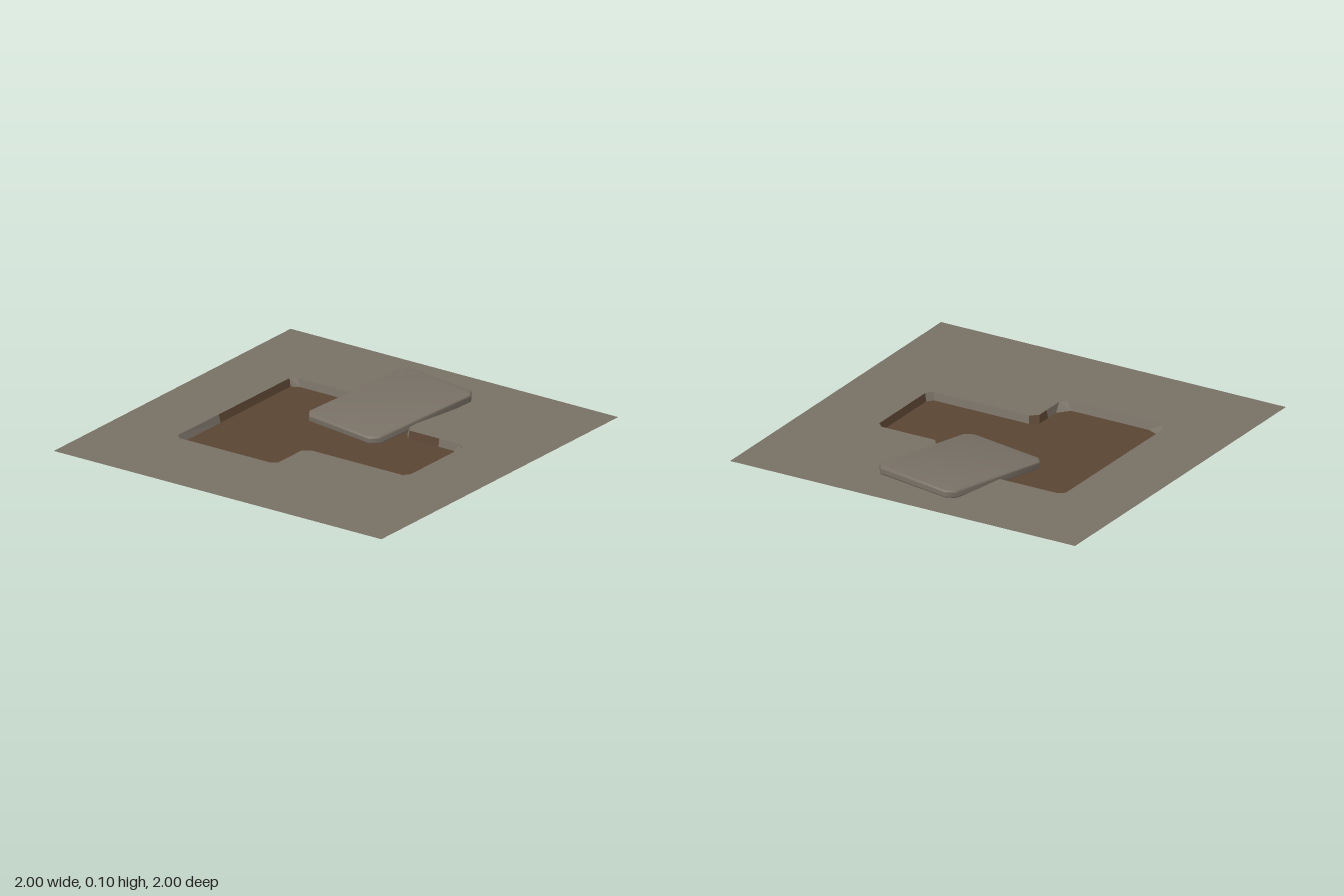
import * as THREE from 'three';
import { toCreasedNormals } from 'three/addons/utils/BufferGeometryUtils.js';

const TOP = 0.05, BOTTOM = 0.009;

// Outline of the pit: rim x, rim z, floor x, floor z, and whether the wall to the next point is earth
const OUTLINE = [
  [-0.47, -0.625, -0.445, -0.61, 0],
  [-0.13, -0.622, -0.13, -0.61, 1],
  [0.465, -0.62, 0.46, -0.61, 0],
  [0.492, -0.59, 0.483, -0.57, 0],
  [0.492, 0.21, 0.483, 0.2, 0],
  [0.465, 0.24, 0.455, 0.232, 0],
  [0.29, 0.24, 0.28, 0.232, 0],
  [0.25, 0.27, 0.243, 0.265, 1],
  [0.25, 0.45, 0.243, 0.45, 0],
  [0.25, 0.58, 0.243, 0.54, 0],
  [0.22, 0.612, 0.215, 0.603, 1],
  [-0.215, 0.612, -0.21, 0.603, 0],
  [-0.248, 0.585, -0.24, 0.575, 0],
  [-0.248, 0.03, -0.24, 0.025, 1],
  [-0.28, -0.01, -0.27, -0.018, 1],
  [-0.35, -0.01, -0.35, -0.018, 0],
  [-0.47, -0.01, -0.425, -0.018, 0],
  [-0.497, -0.04, -0.486, -0.07, 0],
  [-0.497, -0.595, -0.486, -0.52, 0],
];

// Flat shape lying in the ground plane; z maps to negative shape y
const flatPoints = (pts) => pts.map(([x, z]) => new THREE.Vector2(x, -z));

function wallGeometry(earth) {
  const pos = [];
  OUTLINE.forEach((p, i) => {
    if (!!p[4] !== earth) return;
    const q = OUTLINE[(i + 1) % OUTLINE.length];
    const a = [p[0], TOP, p[1]], b = [q[0], TOP, q[1]];
    const c = [q[2], BOTTOM, q[3]], d = [p[2], BOTTOM, p[3]];
    pos.push(...a, ...d, ...c, ...a, ...c, ...b);
  });
  const g = new THREE.BufferGeometry();
  g.setAttribute('position', new THREE.Float32BufferAttribute(pos, 3));
  g.computeVertexNormals();
  return g;
}

export function createModel() {
  const stone = new THREE.MeshStandardMaterial({ color: 0x787065, side: THREE.DoubleSide });
  stone.name = 'stone';
  const earth = new THREE.MeshStandardMaterial({ color: 0x5a4532, side: THREE.DoubleSide });
  earth.name = 'earth';

  const model = new THREE.Group();
  model.name = 'openedPavement';
  const add = (name, geometry, material) => {
    const mesh = new THREE.Mesh(geometry, material);
    mesh.name = name;
    model.add(mesh);
    return mesh;
  };

  // Paved ground sheet with the pit cut out
  const ground = new THREE.Shape(flatPoints([[-1, 1], [1, 1], [1, -1], [-1, -1]]));
  ground.holes.push(new THREE.Path(flatPoints(OUTLINE)));
  add('ground', new THREE.ShapeGeometry(ground).rotateX(-Math.PI / 2), stone).position.y = TOP;

  // Pit floor and walls
  const floor = new THREE.Shape(flatPoints(OUTLINE.map((p) => [p[2], p[3]])));
  add('pitFloor', new THREE.ShapeGeometry(floor).rotateX(-Math.PI / 2), earth).position.y = BOTTOM;
  add('stonePitWalls', wallGeometry(false), stone);
  add('earthPitWalls', wallGeometry(true), earth);

  // Loose slab, chamfered at the corners and tilted with one end down in the pit
  const bevel = 0.012, thick = 0.042, w = 0.355 - bevel, d = 0.255 - bevel, c = 0.035;
  const slabShape = new THREE.Shape(flatPoints([
    [-w, d - c], [-w + c, d], [w - c, d], [w, d - c],
    [w, -d + c], [w - c, -d], [-w + c, -d], [-w, -d + c],
  ]));
  const slabGeometry = new THREE.ExtrudeGeometry(slabShape, {
    depth: thick - 2 * bevel, bevelEnabled: true, bevelSize: bevel, bevelThickness: bevel, bevelSegments: 2,
  });
  slabGeometry.translate(0, 0, bevel - thick / 2).rotateX(-Math.PI / 2);
  const slab = add('looseSlab', toCreasedNormals(slabGeometry, 0.9), stone);
  slab.position.set(0.457, 0.049, 0);
  slab.rotation.set(-0.01, -0.172, 0.076, 'YXZ');

  return model;
}
